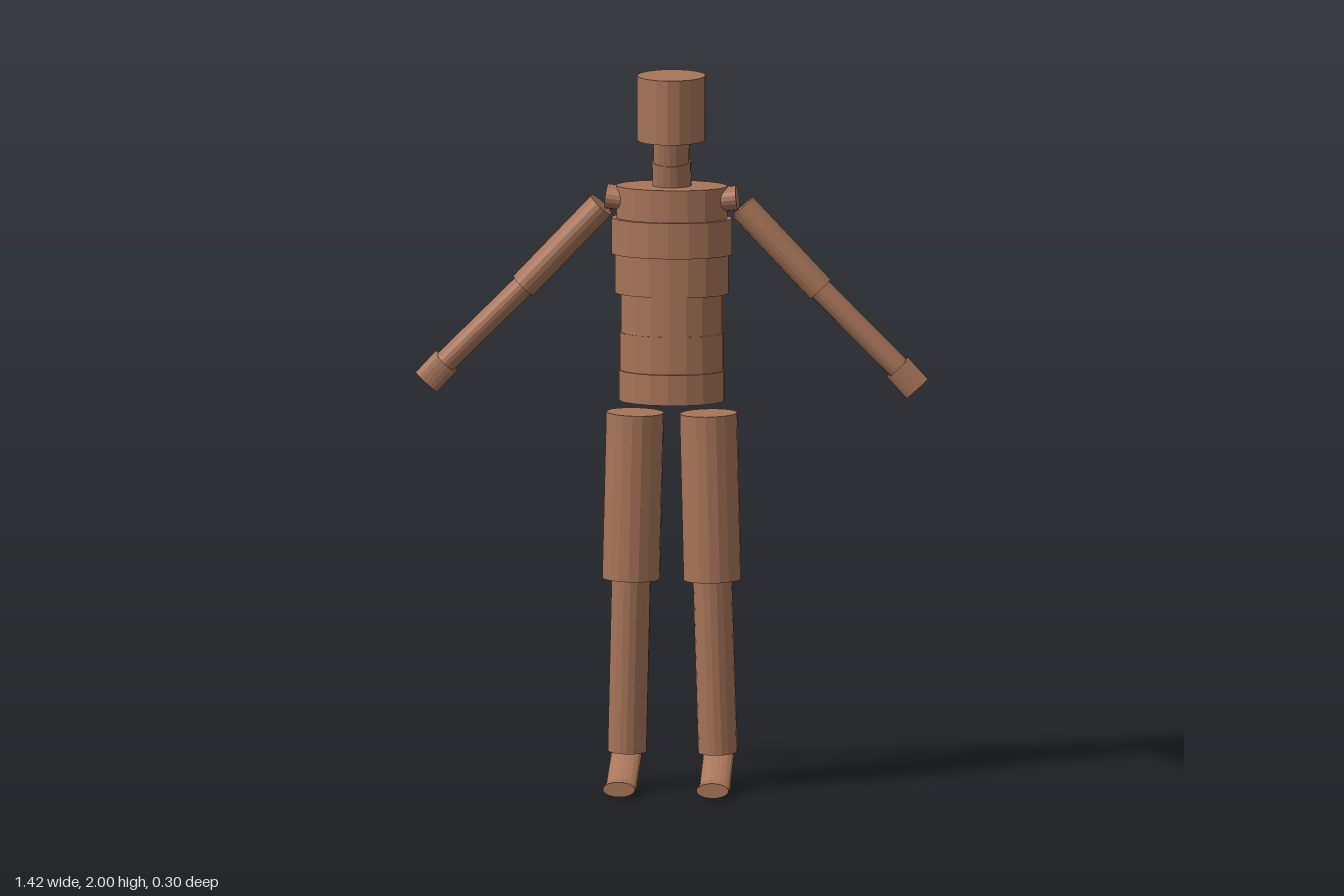
import * as THREE from 'three';

const SIDES = 18;
const UP = new THREE.Vector3(0, 1, 0);

export function createModel() {
  const model = new THREE.Group();
  model.name = 'jointedFigure';
  const clay = new THREE.MeshStandardMaterial({ color: 0xa87559, flatShading: true });
  clay.name = 'warmClayBrown';

  // Elliptical cylinder running from point a to point b
  function segment(parent, name, a, b, rx, rz) {
    const start = new THREE.Vector3(...a);
    const end = new THREE.Vector3(...b);
    const dir = end.clone().sub(start);
    const geometry = new THREE.CylinderGeometry(1, 1, dir.length(), SIDES);
    geometry.scale(rx, 1, rz);
    const mesh = new THREE.Mesh(geometry, clay);
    mesh.name = name;
    mesh.position.copy(start).add(end).multiplyScalar(0.5);
    mesh.quaternion.setFromUnitVectors(UP, dir.normalize());
    parent.add(mesh);
  }

  // Head and two-piece leaning neck
  segment(model, 'head', [0, 1.82, -0.022], [0, 2, -0.022], 0.095, 0.109);
  segment(model, 'lowerNeck', [0, 1.685, -0.042], [0, 1.76, -0.027], 0.054, 0.05);
  segment(model, 'upperNeck', [0, 1.755, -0.028], [0, 1.825, -0.014], 0.05, 0.048);

  // Torso slabs: name, bottom, top, half width, half depth
  const torso = new THREE.Group();
  torso.name = 'torso';
  model.add(torso);
  [
    ['upperChest', 1.60, 1.69, 0.155, 0.101],
    ['chest', 1.50, 1.60, 0.168, 0.112],
    ['ribs', 1.39, 1.50, 0.158, 0.104],
    ['waist', 1.28, 1.39, 0.142, 0.101],
    ['belly', 1.175, 1.28, 0.144, 0.103],
    ['pelvis', 1.09, 1.175, 0.147, 0.112],
  ].forEach(([name, y0, y1, rx, rz]) =>
    segment(torso, name, [0, y0, -0.035], [0, y1, -0.035], rx, rz));

  // Limbs, mirrored across x
  for (const [side, s] of [['left', 1], ['right', -1]]) {
    const arm = new THREE.Group();
    arm.name = side + 'Arm';
    segment(arm, 'collar', [s * 0.05, 1.642, -0.037], [s * 0.182, 1.658, -0.037], 0.034, 0.045);
    segment(arm, 'upperArm', [s * 0.196, 1.633, -0.04], [s * 0.412, 1.405, -0.04], 0.039, 0.048);
    segment(arm, 'forearm', [s * 0.405, 1.412, -0.04], [s * 0.63, 1.187, -0.04], 0.032, 0.04);
    segment(arm, 'hand', [s * 0.626, 1.191, -0.04], [s * 0.682, 1.13, -0.04], 0.041, 0.019);

    const leg = new THREE.Group();
    leg.name = side + 'Leg';
    segment(leg, 'thigh', [s * 0.102, 1.055, -0.035], [s * 0.113, 0.59, -0.035], 0.08, 0.08);
    segment(leg, 'shin', [s * 0.113, 0.592, -0.035], [s * 0.126, 0.104, -0.056], 0.055, 0.054);
    segment(leg, 'foot', [s * 0.128, 0.092, -0.058], [s * 0.13, 0.024, 0.073], 0.043, 0.024);
    segment(leg, 'toes', [s * 0.13, 0.026, 0.07], [s * 0.13, 0.026, 0.152], 0.045, 0.021);
    model.add(arm, leg);
  }
  return model;
}
